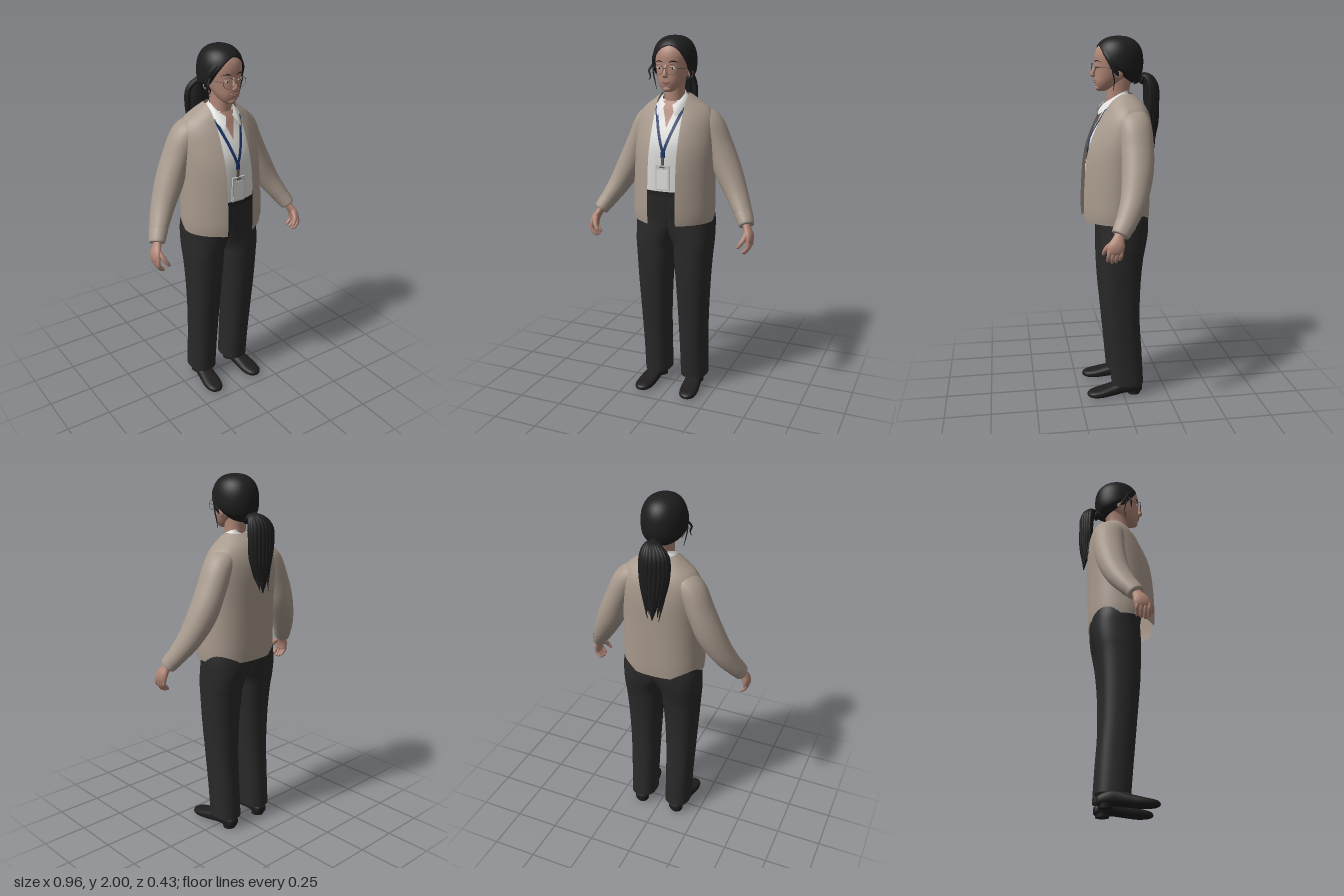
import * as THREE from 'three';
import { mergeVertices } from 'three/addons/utils/BufferGeometryUtils.js';

const mat = (name, color) => new THREE.MeshStandardMaterial({ name, color, side: THREE.DoubleSide });

// Smooth surface from a rule fn(u, v) -> [x, y, z]
function grid(fn, nu, nv) {
  const pos = [], idx = [];
  for (let i = 0; i <= nu; i++) for (let j = 0; j <= nv; j++) pos.push(...fn(i / nu, j / nv));
  for (let i = 0; i < nu; i++) for (let j = 0; j < nv; j++) {
    const a = i * (nv + 1) + j, b = a + nv + 1;
    idx.push(a, a + 1, b, a + 1, b + 1, b);
  }
  const g = new THREE.BufferGeometry();
  g.setAttribute('position', new THREE.Float32BufferAttribute(pos, 3));
  g.setIndex(idx);
  const m = mergeVertices(g, 1e-5);
  m.computeVertexNormals();
  return m;
}

// Spline through rows of numbers
function sample(rows, u) {
  const n = rows.length - 1, s = Math.min(u * n, n - 1e-9), i = Math.floor(s), f = s - i;
  const at = k => rows[Math.max(0, Math.min(n, k))];
  return rows[i].map((b, k) => {
    const a = at(i - 1)[k], c = at(i + 1)[k], d = at(i + 2)[k];
    return b + 0.5 * f * (c - a + f * (2 * a - 5 * b + 4 * c - d + f * (3 * (b - c) + d - a)));
  });
}
const spow = (v, e) => Math.sign(v) * Math.abs(v) ** e;

// Upright loft; rows are [y, half width, front z, back z, centre x], bottom to top.
// p and pf round the back and front, gap leaves the front open, minX cuts the side flat.
function loft(rows, { p = 2.2, pf = p, nu = 32, nv = 40, gap = 0, minX = -Infinity } = {}) {
  return grid((u, v) => {
    const [y, rx, zf, zb, cx = 0] = sample(rows, u);
    const a = gap ? Math.asin(Math.min(0.97, gap / rx) ** (pf / 2)) : 0;
    const t = v === 1 && !gap ? 0 : a + v * 2 * (Math.PI - a), q = Math.cos(t) > 0 ? pf : p;
    return [Math.max(minX, cx + rx * spow(Math.sin(t), 2 / q)), y, (zf + zb) / 2 + (zf - zb) / 2 * spow(Math.cos(t), 2 / q)];
  }, nu, nv);
}

// Height of a loft's front face at x, y
function frontZ(rows, x, y, p) {
  let lo = 0, hi = 1;
  for (let k = 0; k < 24; k++) { const m = (lo + hi) / 2; if (sample(rows, m)[0] < y) lo = m; else hi = m; }
  const [, rx, zf, zb] = sample(rows, lo);
  return (zf + zb) / 2 + (zf - zb) / 2 * Math.max(0, 1 - Math.min(1, Math.abs(x) / rx) ** p) ** (1 / p);
}

// Thin cloth strip lying on the front of a loft, between x = l(y) and x = r(y)
const drape = (rows, p, l, r, y0, y1, off) => grid((u, v) => {
  const y = y0 + (y1 - y0) * u, x = l(y) + (r(y) - l(y)) * v;
  return [x, y, frontZ(rows, x, y, p) + off];
}, 24, 6);

// Tapered limb; rows are [x, y, z, depth radius, width radius]
function limb(rows, nu = 24, nv = 20) {
  const V = (r) => new THREE.Vector3(r[0], r[1], r[2]);
  return grid((u, v) => {
    const r = sample(rows, u), c = V(r);
    const T = V(sample(rows, Math.min(1, u + 0.01))).sub(V(sample(rows, Math.max(0, u - 0.01)))).normalize();
    const A = new THREE.Vector3(0, 0, 1).addScaledVector(T, -T.z).normalize();
    const B = T.clone().cross(A), t = (v % 1) * 2 * Math.PI;
    return c.addScaledVector(A, r[3] * Math.cos(t)).addScaledVector(B, r[4] * Math.sin(t)).toArray();
  }, nu, nv);
}

const ball = (x, y, z, rx, ry, rz) => new THREE.SphereGeometry(1, 24, 16).scale(rx, ry, rz).translate(x, y, z);
const box = (x, y, z, w, h, d) => new THREE.BoxGeometry(w, h, d).translate(x, y, z);

export function createModel() {
  const model = new THREE.Group();
  const skin = mat('skin', 0xb08676), knit = mat('cardigan beige', 0xa89a8d), white = mat('shirt white', 0xdededc);
  const dark = mat('trouser charcoal', 0x29292a), hair = mat('hair black', 0x1d1d1e), leather = mat('shoe black', 0x1f1d1d);
  const blue = mat('lanyard blue', 0x1c3566), metal = mat('metal grey', 0x5e5853), card = mat('badge grey', 0xc4c4c4);
  const lip = mat('lip rose', 0x9c6a60);
  const add = (name, g, m) => {
    const mesh = new THREE.Mesh(g, m);
    mesh.name = name;
    model.add(mesh);
  };
  const pair = (name, g, m) => {
    add(name + 'Left', g, m);
    const r = g.clone().scale(-1, 1, 1);
    r.index.array.reverse();
    add(name + 'Right', r, m);
  };

  // Trousers: two halves meeting at the centre seam, and a belt
  pair('trouserHalf', loft([[.07, .076, .066, -.115, .112], [.25, .077, .082, -.105, .112], [.45, .083, .1, -.092, .113],
    [.65, .093, .118, -.095, .113], [.8, .104, .125, -.108, .111], [.88, .111, .127, -.122, .11], [.95, .137, .127, -.137, .086],
    [1.02, .183, .13, -.145, .041], [1.1, .206, .143, -.142, .008], [1.19, .195, .155, -.135, 0]],
  { p: 2.4, nu: 56, nv: 48, minX: 0 }), dark);
  add('belt', loft([[1.168, .203, .161, -.141], [1.192, .2, .16, -.139]], { p: 2.4, nu: 2 }), leather);

  // Shoes: sections along z of [z, half width, bottom, top]
  const shoe = [[-.108, .002, .035, .04], [-.1, .032, .012, .062], [-.05, .043, .012, .085], [0, .044, .012, .088],
    [.06, .048, .006, .07], [.13, .051, .001, .052], [.18, .042, .004, .042], [.203, .022, .01, .033], [.21, .001, .018, .022]];
  const place = g => g.rotateY(.1).translate(.121, 0, 0);
  pair('shoe', place(grid((u, v) => {
    const [z, w, lo, hi] = sample(shoe, u), t = (v % 1) * 2 * Math.PI;
    return [w * spow(Math.cos(t), .75), (lo + hi) / 2 + (hi - lo) / 2 * spow(Math.sin(t), .75), z];
  }, 32, 24)), leather);
  pair('shoeHeel', place(new THREE.CylinderGeometry(.038, .036, .022, 20).translate(0, .011, -.062)), leather);

  // Shirt, open neck and collar
  const shirt = [[1.17, .185, .15, -.12], [1.3, .185, .16, -.13], [1.42, .18, .163, -.14], [1.5, .17, .143, -.14],
    [1.58, .15, .105, -.11], [1.63, .115, .085, -.08], [1.67, .065, .065, -.05]];
  add('shirt', loft(shirt), white);
  add('buttonPlacket', drape(shirt, 2.2, () => -.014, () => .014, 1.2, 1.54, .004), white);
  add('openNeck', drape(shirt, 2.2, y => -.34 * (y - 1.53), y => .34 * (y - 1.53), 1.53, 1.665, .004), skin);
  add('collar', grid((u, v) => {
    const t = .35 + v * (2 * Math.PI - .7), f = (1 + Math.cos(t)) / 2, s = Math.sin(t);
    const rx = .058 + .027 * u, rz = .062 + .02 * f + u * (.013 + .026 * f);
    return [rx * s + Math.sign(s) * u * .026 * f ** 6, 1.718 - .073 * f * f - u * (.032 + .03 * f ** 4),
      .015 + rz * Math.cos(t) + .008 * Math.sin(u * Math.PI)];
  }, 8, 48), white);

  // Cardigan with front bands, pockets, sleeves and cuffs
  const body = [[1.02, .224, .22, -.152], [1.08, .228, .225, -.156], [1.2, .225, .222, -.159], [1.33, .222, .212, -.163],
    [1.42, .222, .194, -.167], [1.5, .22, .164, -.167], [1.57, .212, .13, -.158], [1.62, .184, .103, -.14],
    [1.66, .132, .085, -.114], [1.7, .078, .055, -.068]];
  add('cardiganBody', loft(body, { p: 2.5, pf: 1.75, gap: .08, nu: 48, nv: 56 }), knit);
  pair('frontBand', drape(body, 1.75, () => .08, () => .105, 1.02, 1.62, .004), knit);
  pair('pocket', drape(body, 1.75, () => .118, () => .19, 1.06, 1.2, .005), knit);
  pair('sleeve', limb([[.06, 1.625, -.035, .06, .03], [.12, 1.595, -.04, .075, .045], [.18, 1.537, -.052, .086, .07], [.235, 1.42, -.055, .086, .071],
    [.285, 1.3, -.045, .082, .074], [.347, 1.18, -.015, .069, .061], [.405, 1.08, .035, .054, .046], [.431, 1.035, .065, .043, .037]], 40, 28), knit);
  pair('cuff', limb([[.405, 1.08, .035, .056, .048], [.42, 1.055, .052, .051, .044], [.433, 1.03, .067, .046, .039],
    [.433, 1.03, .067, .03, .025]], 12, 28), knit);

  // Hands
  pair('palm', limb([[.416, 1.06, .05, .028, .022], [.437, 1.02, .073, .028, .02], [.455, .985, .087, .04, .021],
    [.46, .955, .096, .042, .018], [.456, .935, .1, .034, .012], [.454, .93, .101, .002, .002]]), skin);
  for (let i = 0; i < 4; i++) {
    const z = .065 + i * .021, drop = [.01, 0, -.003, .006][i];
    pair('finger' + (i + 1), limb([[.459, .965, z, .01, .01], [.463, .935, z + .002, .011, .011], [.453, .91 + drop, z + .004, .01, .01],
      [.436, .892 + drop, z + .004, .008, .008], [.43, .888 + drop, z + .004, .001, .001]], 14, 10), skin);
  }
  pair('thumb', limb([[.447, 1, .1, .014, .014], [.438, .97, .132, .014, .014], [.424, .945, .147, .011, .011],
    [.412, .927, .151, .008, .008], [.409, .922, .151, .001, .001]], 14, 12), skin);

  // Neck and head
  add('neck', loft([[1.6, .065, .075, -.06], [1.66, .054, .072, -.05], [1.72, .05, .072, -.05], [1.79, .054, .07, -.07]]), skin);
  add('head', loft([[1.713, .002, .1, .096], [1.718, .024, .118, .07], [1.737, .046, .129, .03], [1.765, .063, .136, -.01], [1.8, .077, .136, -.06],
    [1.85, .089, .135, -.09], [1.9, .095, .135, -.1], [1.94, .088, .121, -.09], [1.97, .06, .088, -.06], [1.98, .002, .01, 0]], { nu: 48 }), skin);
  pair('ear', ball(.092, 1.812, .016, .012, .032, .02), skin);
  add('nose', limb([[0, 1.856, .127, .008, .009], [0, 1.83, .137, .011, .011], [0, 1.81, .146, .014, .013], [0, 1.799, .145, .012, .016],
    [0, 1.793, .132, .004, .01]]), skin);
  add('upperLip', ball(0, 1.77, .133, .023, .005, .008), lip);
  add('lowerLip', ball(0, 1.762, .133, .019, .006, .008), lip);
  add('chin', ball(0, 1.732, .112, .026, .018, .021), skin);
  pair('eyeWhite', ball(.037, 1.838, .127, .013, .005, .008), white);
  pair('iris', ball(.037, 1.838, .131, .0055, .0055, .005), hair);
  pair('eyelid', ball(.037, 1.845, .128, .017, .004, .009), skin);
  pair('eyebrow', limb([[.016, 1.868, .133, .002, .002], [.038, 1.874, .129, .003, .0035], [.062, 1.867, .114, .002, .001]], 12, 8), hair);

  // Glasses
  pair('lensRim', new THREE.TorusGeometry(.029, .0014, 8, 32).scale(1.08, .9, 1).rotateY(.18).translate(.037, 1.832, .147), metal);
  pair('glassesArm', new THREE.TubeGeometry(new THREE.LineCurve3(new THREE.Vector3(.068, 1.84, .141), new THREE.Vector3(.096, 1.835, .012)), 4, .0018, 8), metal);
  add('glassesBridge', box(0, 1.838, .153, .016, .003, .003), metal);

  // Swept-back hair with a curved hairline, tucked in along its edge
  const line = [[1.944], [1.925], [1.875], [1.825], [1.795], [1.773], [1.762], [1.756], [1.754]];
  add('hairCap', grid((u, v) => {
    const t = (v % 1) * 2 * Math.PI, d = Math.abs(Math.atan2(Math.sin(t - .1), Math.cos(t - .1)));
    const edge = sample(line, d / Math.PI)[0];
    const phi = Math.acos((edge - 1.865) / .135) * (1 - u), c = Math.cos(phi);
    const r = Math.max(0, 1 - Math.abs(c) ** 2.4) ** (1 / 2.4) * (1 - .2 * Math.max(0, 1 - u * 7) ** 2);
    return [.115 * r * Math.sin(t), 1.865 + .135 * c, .008 + .133 * r * Math.cos(t)];
  }, 44, 64), hair);
  pair('templeLock', limb([[.07, 1.92, .085, .02, .012], [.092, 1.88, .062, .022, .014], [.1, 1.83, .042, .016, .01], [.096, 1.79, .015, .004, .004]]), hair);
  pair('looseStrand', limb([[.095, 1.88, .06, .004, .004], [.106, 1.82, .055, .004, .004], [.102, 1.77, .045, .003, .003],
    [.088, 1.72, .05, .001, .001]], 20, 8), hair);
  add('sideCurl', limb([[-.1, 1.85, .07, .006, .006], [-.118, 1.82, .08, .005, .006], [-.108, 1.79, .085, .004, .004], [-.12, 1.77, .08, .001, .001]], 20, 8), hair);

  // Ponytail
  add('hairTie', new THREE.TorusGeometry(.022, .009, 10, 24).translate(0, 1.778, -.118), leather);
  add('ponytailCore', limb([[0, 1.775, -.07, .03, .03], [0, 1.787, -.13, .024, .03], [-.008, 1.745, -.165, .034, .05], [-.018, 1.63, -.176, .038, .05],
    [-.02, 1.53, -.18, .032, .038], [-.018, 1.45, -.184, .016, .02], [-.016, 1.39, -.186, .001, .001]], 32), hair);
  for (let i = 0; i < 11; i++) {
    const a = (i / 10 - .5) * Math.PI, s = Math.sin(a), c = Math.cos(a), x = -.02 + .07 * s, z = -.155 - .044 * c;
    const tip = 1.395 + .07 * ((i * 7) % 11) / 10;
    add('ponytailStrand' + (i + 1), limb([[0, 1.775, -.1, .008, .008], [.03 * s, 1.79 + .006 * c, -.132 - .02 * c, .011, .011], [x * .95, 1.74, z, .014, .014],
      [x, 1.64, z - .005, .014, .014], [x * .78, 1.53, z - .004, .011, .011], [x * .5 - .01, tip, -.19, .001, .001]], 26, 10), hair);
  }

  // Lanyard and badge
  pair('lanyardStrap', drape(shirt, 2.2, y => .34 * (y - 1.405) - .008, y => .34 * (y - 1.405) + .009, 1.4, 1.635, .012), blue);
  add('lanyardJoin', box(0, 1.395, .178, .022, .03, .008), blue);
  add('badgeClip', box(0, 1.36, .18, .014, .045, .008), metal);
  add('badgeHolder', box(0, 1.272, .182, .076, .136, .009), card);
  add('badgeCard', box(0, 1.265, .187, .062, .105, .004), white);
  add('badgeSlot', box(0, 1.33, .187, .026, .007, .003), metal);
  return model;
}
